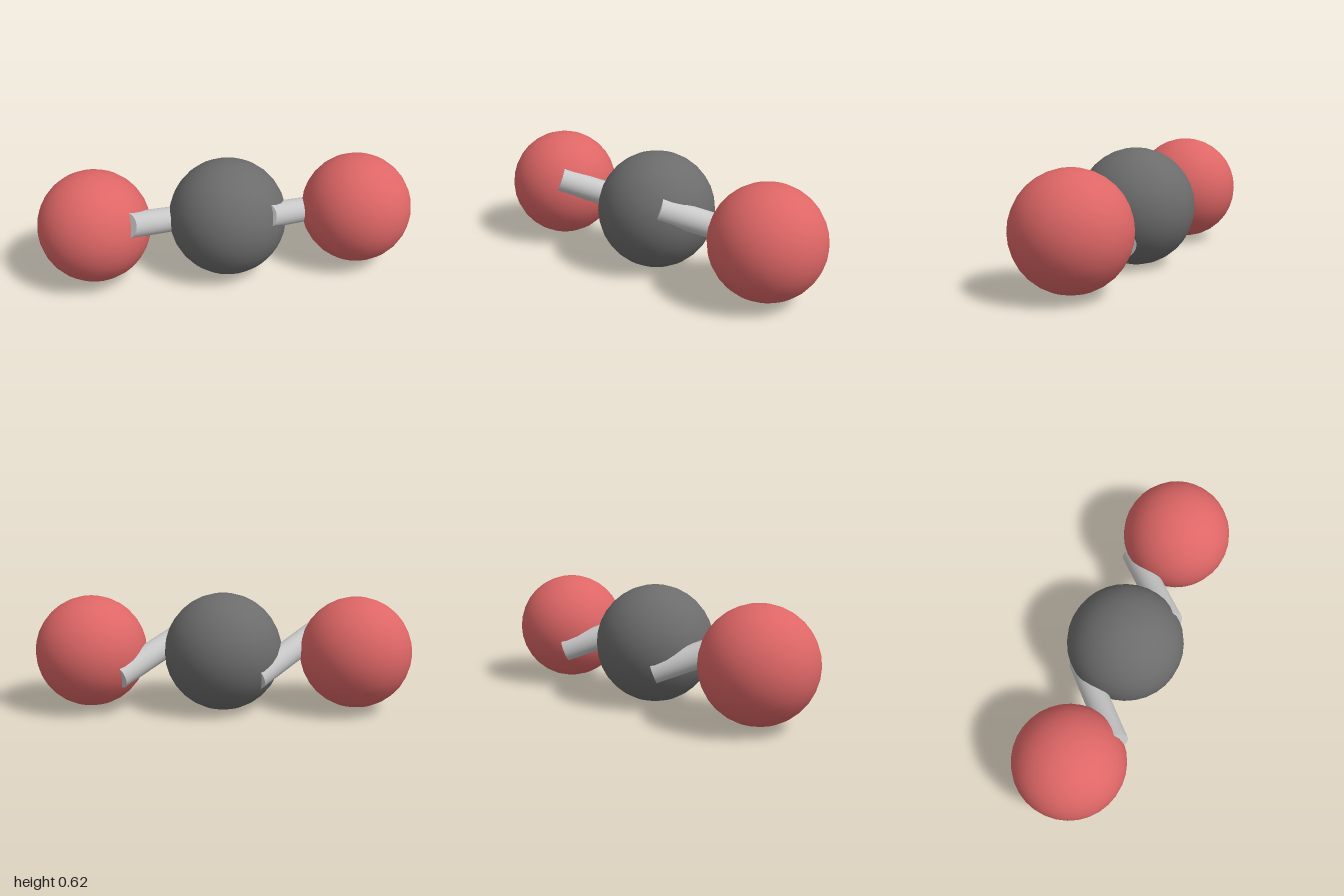
import * as THREE from 'three';

const paint = (name, color) => {
  const material = new THREE.MeshStandardMaterial({ color });
  material.name = name;
  return material;
};

export function createModel() {
  const model = new THREE.Group();
  model.name = 'molecule';
  const charcoal = paint('charcoal', 0x6c6c6c);
  const red = paint('red', 0xde6666);
  const silver = paint('silver', 0xc8c8c8);
  const midHeight = 0.3125;

  const add = (name, geometry, material, x) => {
    const mesh = new THREE.Mesh(geometry, material);
    mesh.name = name;
    mesh.position.set(x, midHeight, 0);
    model.add(mesh);
    return mesh;
  };

  // Central atom
  add('centreAtom', new THREE.SphereGeometry(0.3125, 32, 16), charcoal, 0);

  // Outer atoms and the skewed bonds, both bonds leaning the same way
  const atom = new THREE.SphereGeometry(0.295, 32, 16);
  const rod = new THREE.CylinderGeometry(0.067, 0.067, 0.555, 32);
  const up = new THREE.Vector3(0, 1, 0);
  const lean = new THREE.Vector3(-2, 1, 2).normalize();
  for (const [side, s] of [['left', 1], ['right', -1]]) {
    add(side + 'Atom', atom, red, 0.705 * s);
    add(side + 'Bond', rod, silver, 0.355 * s).quaternion.setFromUnitVectors(up, lean);
  }
  return model;
}
